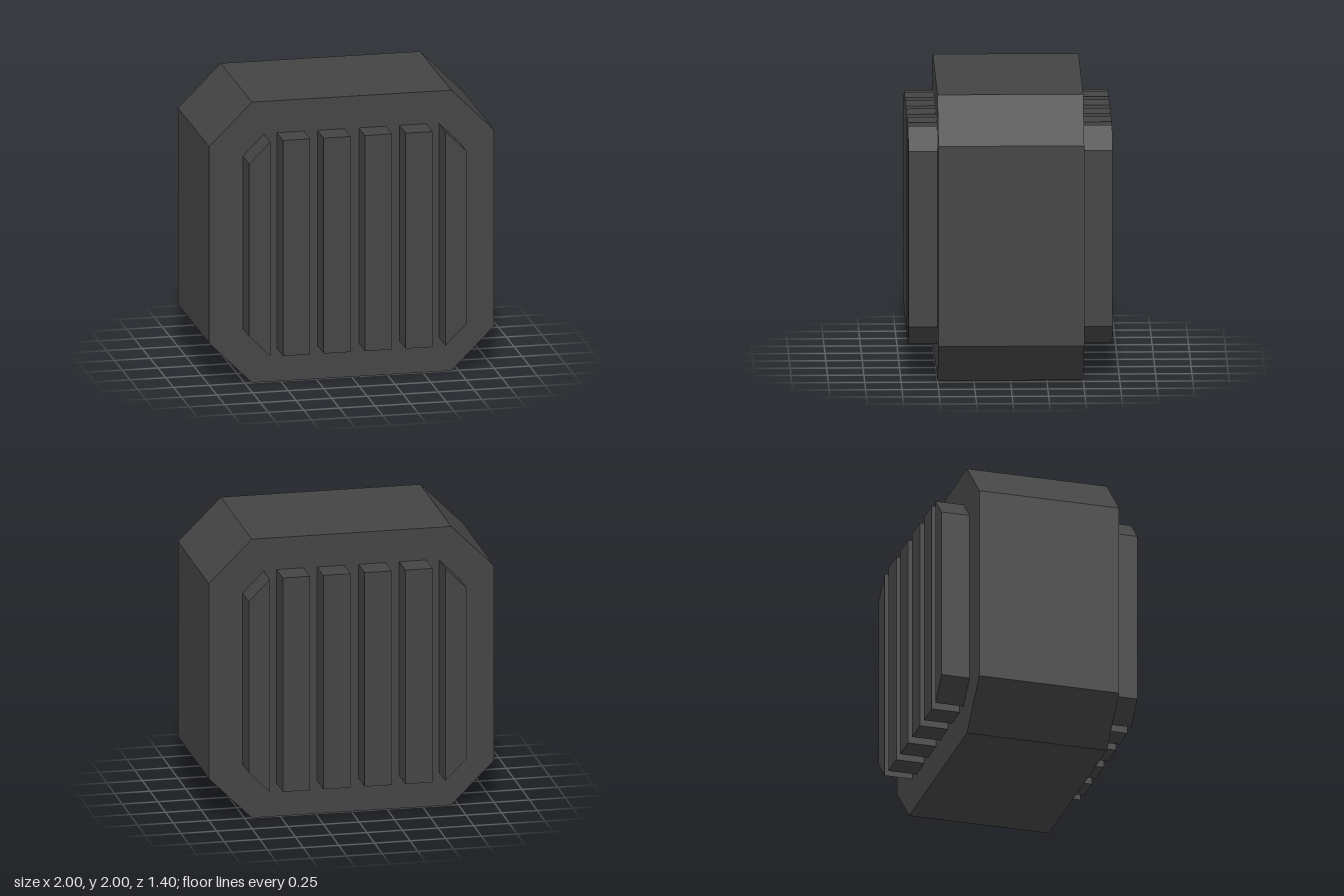
import * as THREE from 'three';

const material = new THREE.MeshStandardMaterial({ color: 0x444444, flatShading: true });

// Extrude an outline of [x, y] points from z0 to z1
function slab(name, points, z0, z1) {
  const shape = new THREE.Shape(points.map(([x, y]) => new THREE.Vector2(x, y)));
  const geometry = new THREE.ExtrudeGeometry(shape, { depth: z1 - z0, bevelEnabled: false });
  geometry.translate(0, 0, z0);
  const mesh = new THREE.Mesh(geometry, material);
  mesh.name = name;
  return mesh;
}

export function createModel() {
  const model = new THREE.Group();
  model.name = 'ribbedBlock';

  // Octagonal body with chamfered corners
  model.add(slab('body', [
    [-0.7, 0], [0.7, 0], [1, 0.3], [1, 1.7],
    [0.7, 2], [-0.7, 2], [-1, 1.7], [-1, 0.3],
  ], -0.5, 0.5));

  // Upright ribs on the front and back faces
  for (const [face, z0, z1] of [['front', 0.5, 0.7], ['back', -0.7, -0.5]]) {
    const ribs = new THREE.Group();
    ribs.name = face + 'Ribs';
    for (const x of [-0.43, -0.145, 0.145, 0.43]) {
      const rib = new THREE.Mesh(new THREE.BoxGeometry(0.19, 1.536, z1 - z0), material);
      rib.name = 'rib';
      rib.position.set(x, 1.003, (z0 + z1) / 2);
      ribs.add(rib);
    }
    // Outer ribs, their ends cut at 45 degrees
    const left = [[0.615, 0.24], [0.763, 0.388], [0.763, 1.618], [0.615, 1.766]];
    ribs.add(slab('leftEndRib', left, z0, z1));
    ribs.add(slab('rightEndRib', left.map(([x, y]) => [-x, y]).reverse(), z0, z1));
    model.add(ribs);
  }
  return model;
}
